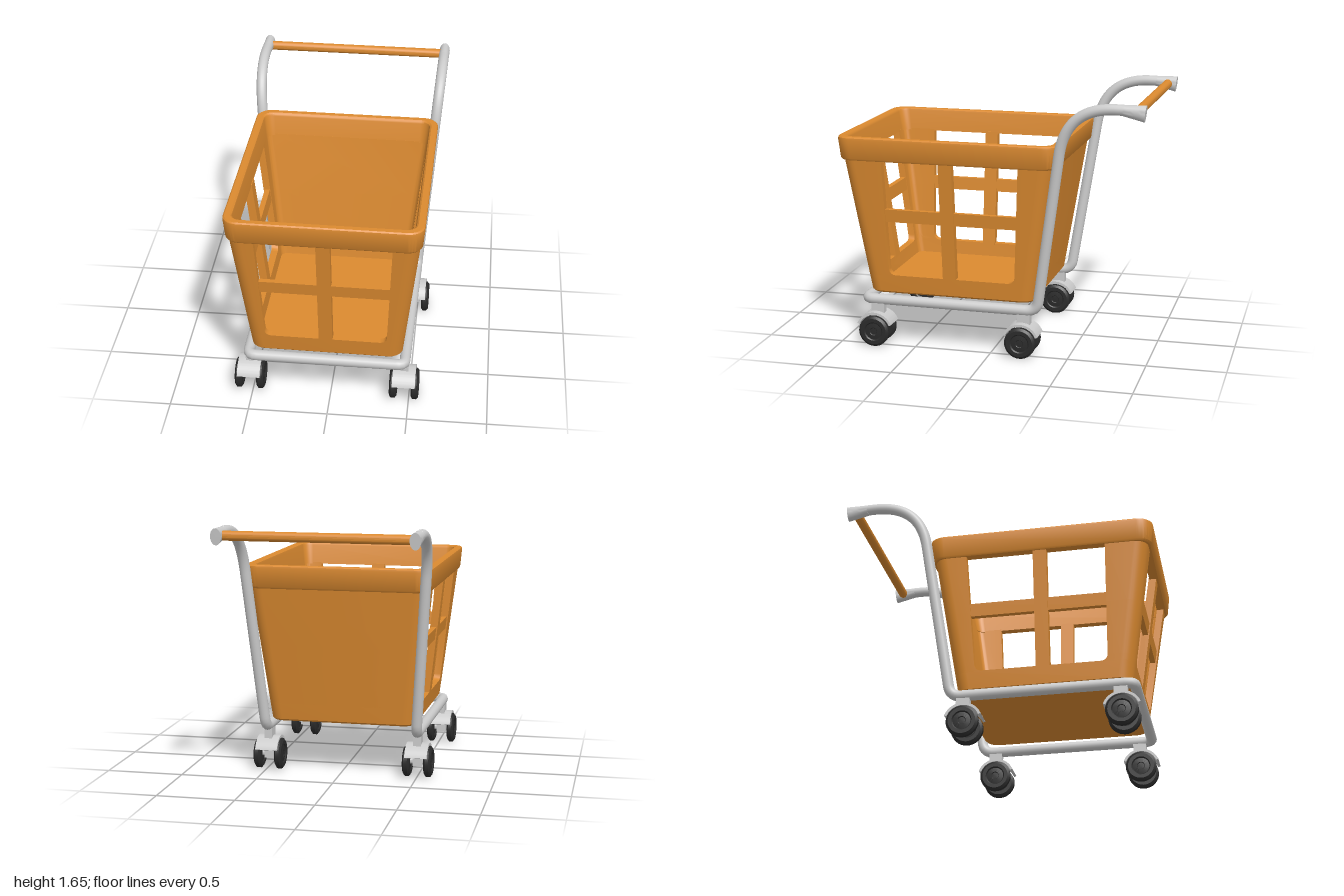
import * as THREE from 'three';
import { toCreasedNormals } from 'three/addons/utils/BufferGeometryUtils.js';

const orange = new THREE.MeshStandardMaterial({ color: 0xdb8a30 });
const grey = new THREE.MeshStandardMaterial({ color: 0xcccccc });
const dark = new THREE.MeshStandardMaterial({ color: 0x2b2b2b });

const CZ = 0.27; // basket centre along z
const Y0 = 0.335, SILL = 0.46, Y1 = 1.22; // basket bottom, opening sill, underside of rim
const WALL = 0.045;
const at = (y, a, b) => a + (b - a) * (y - Y0) / (Y1 - Y0);
const halfX = y => at(y, 0.475, 0.575);
const halfZ = y => at(y, 0.545, 0.68);

function add(parent, name, geometry, material, crease = 0.6) {
  const mesh = new THREE.Mesh(crease ? toCreasedNormals(geometry, crease) : geometry, material);
  mesh.name = name;
  parent.add(mesh);
  return mesh;
}

// Joins closed loops of points; either wraps the last row to the first or caps both ends.
function loft(rows, wrap = false) {
  const flat = rows[0].map(p => new THREE.Vector2(p.x, p.z));
  if (THREE.ShapeUtils.area(flat) < 0) rows = rows.map(r => [...r].reverse());
  const n = rows[0].length, m = rows.length, index = [];
  for (let j = 0; j < (wrap ? m : m - 1); j++) {
    for (let i = 0; i < n; i++) {
      const a = j * n + i, b = j * n + (i + 1) % n;
      const k = ((j + 1) % m) * n, d = k + i, c = k + (i + 1) % n;
      index.push(a, d, c, a, c, b);
    }
  }
  if (!wrap) {
    const t = (m - 1) * n;
    for (let i = 0; i < n / 2 - 1; i++) {
      const q = [i, i + 1, n - 2 - i, n - 1 - i];
      index.push(q[0], q[1], q[2], q[0], q[2], q[3]);
      index.push(t + q[0], t + q[2], t + q[1], t + q[0], t + q[3], t + q[2]);
    }
  }
  const g = new THREE.BufferGeometry();
  g.setAttribute('position', new THREE.Float32BufferAttribute(rows.flat().flatMap(p => [p.x, p.y, p.z]), 3));
  g.setIndex(index);
  return g;
}

// Quarter-round corner k (0: +x+z, 1: -x+z, 2: -x-z, 3: +x-z)
function corner(k, y, hx, hz, r) {
  const sx = k === 0 || k === 3 ? 1 : -1, sz = k < 2 ? 1 : -1, pts = [];
  for (let i = 0; i <= 8; i++) {
    const t = (k + i / 8) * Math.PI / 2;
    pts.push(new THREE.Vector3(sx * (hx - r) + r * Math.cos(t), y, CZ + sz * (hz - r) + r * Math.sin(t)));
  }
  return pts;
}
const roundRect = (y, hx, hz, r) => [0, 1, 2, 3].flatMap(k => corner(k, y, hx, hz, r));
const outline = (y, inset) => roundRect(y, halfX(y) - inset, halfZ(y) - inset, 0.085 - inset);

// Opening edges, narrowing into a fillet at the sill
function opening(y) {
  const r = 0.04, d = Math.max(0, r - (y - SILL));
  const f = r - Math.sqrt(Math.max(0, r * r - d * d));
  return { x: at(y, 0.375, 0.415) - f, front: CZ + at(y, 0.4, 0.415) - f, back: CZ - at(y, 0.42, 0.47) + f };
}

// Wall piece running round the given corners, from one opening edge to the next
function wallPiece(corners, start, end) {
  const ys = [SILL - 0.005, SILL, SILL + 0.004, SILL + 0.012, SILL + 0.024, SILL + 0.04, 0.84, Y1 + 0.01];
  return loft(ys.map(y => {
    const o = opening(y);
    const line = inset => {
      const hx = halfX(y) - inset, hz = halfZ(y) - inset;
      const edge = f => { const [x, z] = f(o, hx, CZ + hz); return new THREE.Vector3(x, y, z); };
      return [edge(start), ...corners.flatMap(k => corner(k, y, hx, hz, 0.085 - inset)), edge(end)];
    };
    return [...line(0), ...line(WALL).reverse()];
  }));
}

// Flat strip lying in the front wall (side 0) or a side wall (side +1 / -1)
function strip(side, u0, u1, y0, y1, outer, inner) {
  return loft([y0, y1].map(y => [[u0, outer], [u1, outer], [u1, inner], [u0, inner]].map(([u, d]) =>
    side ? new THREE.Vector3(side * (halfX(y) - d), y, u) : new THREE.Vector3(u, y, CZ + halfZ(y) - d))));
}

function buildBasket() {
  const g = new THREE.Group();
  g.name = 'basket';
  add(g, 'floor', loft([outline(Y0, 0.012), outline(0.37, 0.02)]), orange);
  const band = [[Y0, 0.012], [0.347, 0], [SILL, 0], [SILL, WALL], [0.35, WALL]];
  add(g, 'lowerBand', loft(band.map(([y, i]) => outline(y, i)), true), orange);
  add(g, 'frontLeftPillar', wallPiece([0], (o, hx) => [hx, o.front], (o, hx, z) => [o.x, z]), orange);
  add(g, 'frontRightPillar', wallPiece([1], (o, hx, z) => [-o.x, z], (o, hx) => [-hx, o.front]), orange);
  add(g, 'backWall', wallPiece([2, 3], (o, hx) => [-hx, o.back], (o, hx) => [hx, o.back]), orange);

  const rim = [[1.22, 0.53, 0.635], [1.22, 0.582, 0.692], [1.232, 0.589, 0.702], [1.35, 0.6, 0.716], [1.363, 0.598, 0.714],
    [1.37, 0.59, 0.706], [1.37, 0.558, 0.674], [1.362, 0.548, 0.664], [1.35, 0.545, 0.66]];
  add(g, 'rim', loft(rim.map(([y, x, z]) => roundRect(y, x, z, 0.095 - (0.6 - x) * 0.6)), true), orange);

  // Centre posts and cross bars of the three open walls
  for (const side of [0, 1, -1]) {
    const c = side ? CZ : 0;
    const [u0, u1] = side ? [CZ - 0.46, CZ + 0.42] : [-0.41, 0.41];
    add(g, 'centrePost', strip(side, c - 0.043, c + 0.043, SILL - 0.01, Y1 + 0.01, 0, 0.05), orange);
    add(g, 'crossBar', strip(side, u0, u1, 0.82, 0.903, 0.008, 0.042), orange);
  }
  return g;
}

// Polyline whose inner corners are rounded by the given trim lengths
function roundedPath(points, trims) {
  const path = new THREE.CurvePath();
  let from = points[0];
  for (let i = 1; i < points.length - 1; i++) {
    const p = points[i];
    const toward = q => p.clone().add(q.clone().sub(p).setLength(trims[i - 1]));
    const a = toward(points[i - 1]), b = toward(points[i + 1]);
    path.add(new THREE.LineCurve3(from, a));
    path.add(new THREE.QuadraticBezierCurve3(a, p, b));
    from = b;
  }
  path.add(new THREE.LineCurve3(from, points[points.length - 1]));
  return path;
}

function buildFrame() {
  const g = new THREE.Group();
  g.name = 'frame';
  const half = s => [[0.6, 1.619, -0.86], [0.6, 1.625, -0.505], [0.495, 0.297, -0.307], [0.495, 0.297, 0.83]]
    .map(([x, y, z]) => new THREE.Vector3(s * x, y, z));
  const path = roundedPath([...half(1), ...half(-1).reverse()], [0.31, 0.07, 0.05, 0.05, 0.07, 0.31]);
  add(g, 'frameTube', new THREE.TubeGeometry(path, 320, 0.034, 16), grey, 0);

  // Flared handle ends
  for (const s of [1, -1]) {
    const end = new THREE.CylinderGeometry(0.052, 0.034, 0.135, 20, 6);
    const p = end.attributes.position;
    for (let i = 0; i < p.count; i++) {
      const r = 0.034 / (0.034 + 0.018 * (p.getY(i) / 0.135 + 0.5));
      p.setX(i, p.getX(i) * r);
    }
    end.rotateX(-Math.PI / 2 - 0.12);
    add(g, 'handleEnd', end, grey).position.set(s * 0.6, 1.61, -0.922);
  }
  const bar = add(g, 'handleBar', new THREE.CylinderGeometry(0.03, 0.03, 1.16, 20), orange);
  bar.rotation.z = Math.PI / 2;
  bar.position.set(0, 1.605, -0.934);
  return g;
}

function buildCaster() {
  const g = new THREE.Group();
  g.name = 'caster';
  const profile = [[0, -0.016], [0.022, -0.016], [0.026, -0.02], [0.055, -0.016], [0.062, -0.023], [0.085, -0.023], [0.1, -0.012]];
  const pts = [...profile, ...profile.map(([r, y]) => [r, -y]).reverse()].map(([r, y]) => new THREE.Vector2(r, y));
  for (const s of [1, -1]) {
    const wheel = add(g, 'wheel', new THREE.LatheGeometry(pts, 32), dark);
    wheel.rotation.z = Math.PI / 2;
    wheel.position.set(s * 0.069, 0.1, 0);
  }
  const axle = add(g, 'axle', new THREE.CylinderGeometry(0.018, 0.018, 0.14, 16), grey);
  axle.rotation.z = Math.PI / 2;
  axle.position.y = 0.1;

  // Curved fender over the wheel pair
  const arc = new THREE.Shape();
  arc.absarc(0, 0, 0.122, 0.38, Math.PI - 0.38, false);
  arc.absarc(0, 0, 0.106, Math.PI - 0.38, 0.38, true);
  const fender = new THREE.ExtrudeGeometry(arc, { depth: 0.145, bevelEnabled: false, curveSegments: 20 });
  fender.translate(0, 0, -0.0725).rotateY(Math.PI / 2);
  add(g, 'fender', fender, grey).position.y = 0.1;
  add(g, 'fork', new THREE.BoxGeometry(0.062, 0.14, 0.08), grey).position.y = 0.145;
  add(g, 'stem', new THREE.BoxGeometry(0.05, 0.1, 0.085), grey).position.set(0, 0.245, -0.01);
  return g;
}

export function createModel() {
  const model = new THREE.Group();
  model.name = 'shoppingCart';
  const cart = new THREE.Group();
  cart.name = 'cart';
  cart.position.x = -0.013;
  cart.rotation.y = -0.014;
  cart.add(buildBasket(), buildFrame());
  for (const x of [0.493, -0.493]) {
    for (const z of [0.757, -0.213]) {
      const caster = buildCaster();
      caster.position.set(x, 0, z);
      cart.add(caster);
    }
  }
  model.add(cart);
  return model;
}
